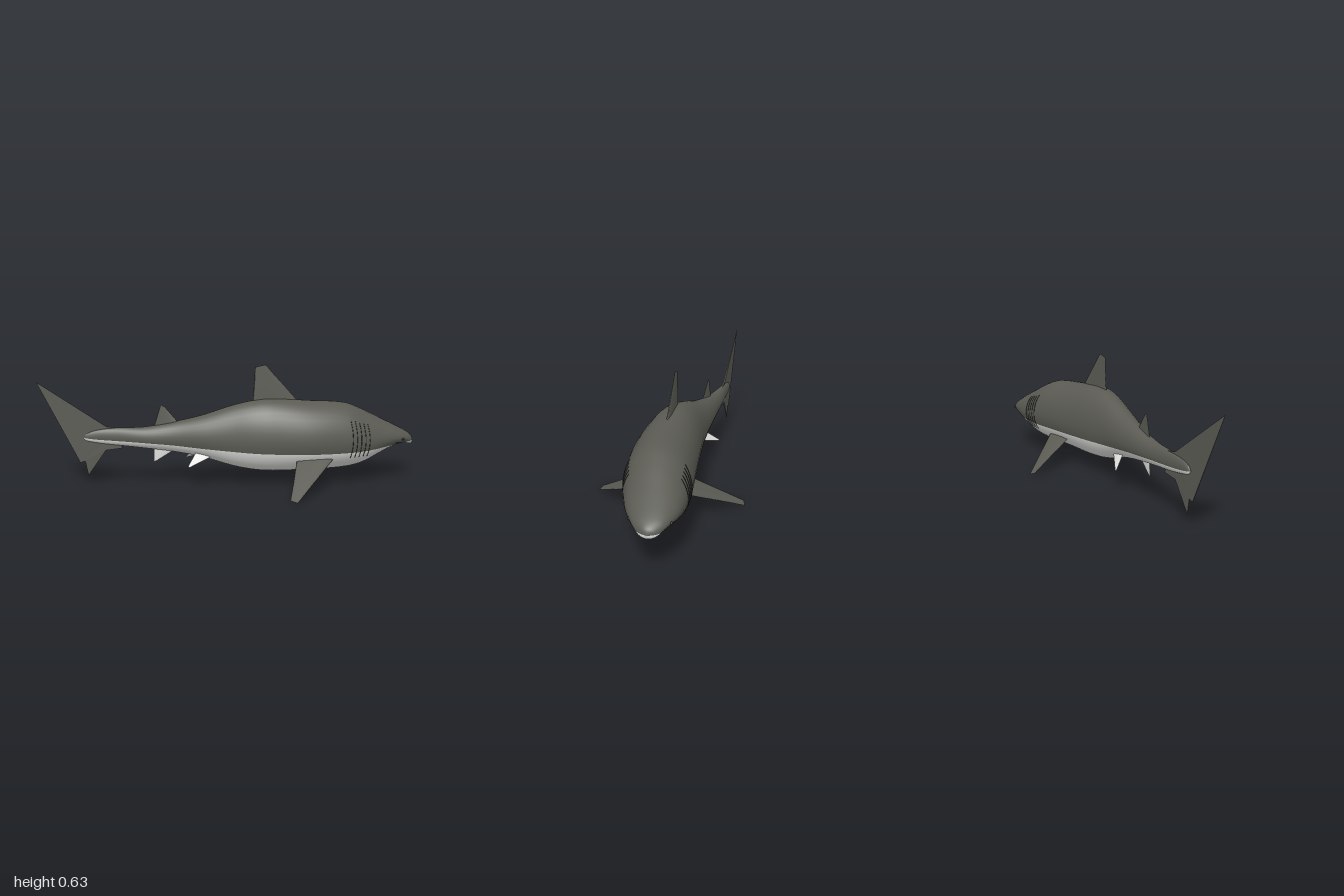
import * as THREE from 'three';

// Body stations: x, top y, bottom y, right z, left z, colour-line y
const S = [
  [-0.775, 0.25, 0.25, -0.11, -0.11, 0.25],
  [-0.76, 0.27, 0.233, -0.12, -0.1, 0.247],
  [-0.7, 0.29, 0.22, -0.122, -0.088, 0.24],
  [-0.6, 0.3, 0.208, -0.122, -0.07, 0.234],
  [-0.45, 0.306, 0.193, -0.12, -0.03, 0.227],
  [-0.3, 0.333, 0.175, -0.119, 0.003, 0.217],
  [-0.15, 0.37, 0.147, -0.118, 0.05, 0.205],
  [0, 0.42, 0.103, -0.12, 0.09, 0.195],
  [0.1, 0.445, 0.083, -0.128, 0.12, 0.19],
  [0.2, 0.456, 0.074, -0.138, 0.14, 0.187],
  [0.4, 0.442, 0.076, -0.16, 0.158, 0.184],
  [0.6, 0.424, 0.08, -0.182, 0.14, 0.184],
  [0.7, 0.385, 0.1, -0.187, 0.115, 0.187],
  [0.8, 0.335, 0.148, -0.186, 0.08, 0.195],
  [0.87, 0.3, 0.178, -0.175, 0.05, 0.2],
  [0.945, 0.261, 0.192, -0.148, 0.004, 0.204],
  [0.98, 0.238, 0.181, -0.122, -0.029, 0.206],
  [0.994, 0.222, 0.186, -0.1, -0.052, 0.205],
  [1, 0.203, 0.203, -0.076, -0.076, 0.203],
];

// Smooth interpolation of one station column at x
function at(x, c) {
  let i = 0;
  while (i < S.length - 2 && x > S[i + 1][0]) i++;
  const slope = (k) => {
    const a = S[Math.max(k - 1, 0)], b = S[Math.min(k + 1, S.length - 1)];
    return (b[c] - a[c]) / (b[0] - a[0]);
  };
  const h = S[i + 1][0] - S[i][0], t = (x - S[i][0]) / h, t2 = t * t, t3 = t2 * t;
  return (2 * t3 - 3 * t2 + 1) * S[i][c] + (t3 - 2 * t2 + t) * h * slope(i)
    + (3 * t2 - 2 * t3) * S[i + 1][c] + (t3 - t2) * h * slope(i + 1);
}

const midY = (x) => at(x, 2) + 0.45 * (at(x, 1) - at(x, 2));
const midZ = (x) => (at(x, 3) + at(x, 4)) / 2;

// Point on the skin: angle 0 is the left flank, PI / 2 the back
function skin(x, a) {
  const s = Math.sin(a), cy = midY(x);
  const r = s > 0 ? at(x, 1) - cy : cy - at(x, 2);
  return new THREE.Vector3(x, cy + r * s, midZ(x) + (at(x, 4) - at(x, 3)) / 2 * Math.cos(a));
}

// Angle on the skin at a given height
function angleAt(x, y) {
  const cy = midY(x), r = y > cy ? at(x, 1) - cy : cy - at(x, 2);
  return r < 1e-5 ? 0 : Math.asin(THREE.MathUtils.clamp((y - cy) / r, -1, 1));
}

// Closed body loft: group 0 is the back, group 1 the belly
function bodyGeometry() {
  const rings = 110, half = 20, n = half * 2, pos = [], back = [], belly = [];
  for (let i = 0; i <= rings; i++) {
    const x = -0.775 + 1.775 * (0.5 - 0.5 * Math.cos(Math.PI * i / rings));
    const a = angleAt(x, at(x, 5));
    for (let j = 0; j < n; j++) {
      const t = j < half
        ? a + (Math.PI - 2 * a) * j / half
        : Math.PI - a + (Math.PI + 2 * a) * (j - half) / half;
      pos.push(...skin(x, t).toArray());
      if (i === rings) continue;
      const p = i * n + j, q = i * n + (j + 1) % n;
      (j < half ? back : belly).push(p, p + n, q, q, p + n, q + n);
    }
  }
  const g = new THREE.BufferGeometry();
  g.setAttribute('position', new THREE.Float32BufferAttribute(pos, 3));
  g.setIndex([...back, ...belly]);
  g.addGroup(0, back.length, 0);
  g.addGroup(back.length, belly.length, 1);
  g.computeVertexNormals();
  return g;
}

// Fin lofted from a foil-shaped root to a thin tip; corners are [x, y, z]
function finGeometry(rootBack, rootFront, tipFront, tipBack, thick) {
  const [rb, rf, tf, tb] = [rootBack, rootFront, tipFront, tipBack].map((p) => new THREE.Vector3(...p));
  const side = rf.clone().sub(rb).cross(tb.clone().sub(rb)).normalize();
  const n = 16, rows = 6, pos = [], idx = [];
  for (let i = 0; i <= rows; i++) {
    const v = i / rows, b = rb.clone().lerp(tb, v), f = rf.clone().lerp(tf, v);
    for (let j = 0; j < n; j++) {
      const a = j / n * Math.PI * 2;
      const p = b.clone().lerp(f, 0.5 + 0.5 * Math.cos(a));
      p.addScaledVector(side, Math.sin(a) * (0.8 + 0.2 * Math.cos(a)) * thick / 2 * (1.03 - v));
      pos.push(...p.toArray());
      if (i === rows) continue;
      const k = i * n + j, q = i * n + (j + 1) % n;
      idx.push(k, q, k + n, q, q + n, k + n);
    }
  }
  const g = new THREE.BufferGeometry();
  g.setAttribute('position', new THREE.Float32BufferAttribute(pos, 3));
  g.setIndex(idx);
  g.computeVertexNormals();
  return g;
}

// Tail fin plate, thinning to its tips and bent along the swimming curve
function tailGeometry() {
  const pts = [[-1, 0.545], [-0.79, 0.115], [-0.765, 0.122], [-0.75, 0.045], [-0.655, 0.18],
    [-0.57, 0.19], [-0.57, 0.295], [-0.65, 0.307]];
  const shape = new THREE.Shape(pts.map((p) => new THREE.Vector2(...p)));
  const g = new THREE.ExtrudeGeometry(shape, { depth: 1, bevelEnabled: false });
  const p = g.attributes.position;
  for (let i = 0; i < p.count; i++) {
    const x = p.getX(i), y = p.getY(i);
    const w = 0.012 * Math.max(0.1, 1 - Math.abs(y - 0.24) / 0.2);
    p.setZ(i, -0.117 + (x + 1) * 0.046 + (p.getZ(i) - 0.5) * w);
  }
  g.computeVertexNormals();
  return g;
}

export function createModel() {
  const model = new THREE.Group();
  const grey = new THREE.MeshStandardMaterial({ color: 0x5b5b54, side: THREE.DoubleSide });
  grey.name = 'slate grey';
  const white = new THREE.MeshStandardMaterial({ color: 0xe0e0de, side: THREE.DoubleSide });
  white.name = 'belly white';
  const black = new THREE.MeshStandardMaterial({ color: 0x2b2b28 });
  black.name = 'dark detail';
  const add = (name, geometry, material) => {
    const m = new THREE.Mesh(geometry, material);
    m.name = name;
    model.add(m);
    return m;
  };

  add('body', bodyGeometry(), [grey, white]);
  add('tailFin', tailGeometry(), grey);

  // Fins on the centre line
  add('dorsalFin', finGeometry([0.108, 0.42, 0], [0.36, 0.425, 0], [0.175, 0.632, 0], [0.12, 0.62, 0], 0.024), grey);
  add('secondDorsalFin', finGeometry([-0.405, 0.3, -0.07], [-0.265, 0.32, -0.047],
    [-0.345, 0.412, -0.061], [-0.366, 0.422, -0.065], 0.014), grey);
  add('analFin', finGeometry([-0.405, 0.2, -0.07], [-0.28, 0.195, -0.049],
    [-0.395, 0.121, -0.068], [-0.405, 0.119, -0.07], 0.012), white);

  // Paired fins
  for (const s of [1, -1]) {
    const side = s > 0 ? 'left' : 'right';
    add(side + 'PectoralFin', finGeometry([0.325, 0.155, s * 0.11], [0.525, 0.16, s * 0.11],
      [0.278, 0.002, s * 0.376], [0.243, 0.012, s * 0.366], 0.024), grey);
    add(side + 'PelvicFin', finGeometry([-0.19, 0.18, -0.04 + s * 0.045], [-0.09, 0.165, -0.035 + s * 0.045],
      [-0.225, 0.117, -0.042 + s * 0.112], [-0.235, 0.12, -0.042 + s * 0.11], 0.01), white);

    // Eye
    const ea = angleAt(0.915, 0.226);
    const eye = add(side + 'Eye', new THREE.SphereGeometry(0.007, 16, 10), black);
    eye.position.copy(skin(0.915, s > 0 ? ea : Math.PI - ea));

    // Gill slits
    for (let k = 0; k < 5; k++) {
      const pts = [];
      for (let i = 0; i <= 10; i++) {
        const y = 0.155 + (0.195 - k * 0.006) * i / 10;
        const x = 0.605 + k * 0.024 + 0.008 * Math.sin(Math.PI * i / 10);
        const a = angleAt(x, y);
        pts.push(skin(x, s > 0 ? a : Math.PI - a));
      }
      add(side + 'GillSlit', new THREE.TubeGeometry(new THREE.CatmullRomCurve3(pts), 24, 0.0018, 6), black);
    }
  }

  // Mouth line curving around the underside of the snout
  const mouth = [];
  for (let i = 0; i <= 16; i++) {
    const u = i / 8 - 1;
    mouth.push(skin(0.945 - 0.075 * u * u, -Math.PI / 2 + u * 1.15));
  }
  add('mouth', new THREE.TubeGeometry(new THREE.CatmullRomCurve3(mouth), 40, 0.002, 6), black);

  return model;
}
